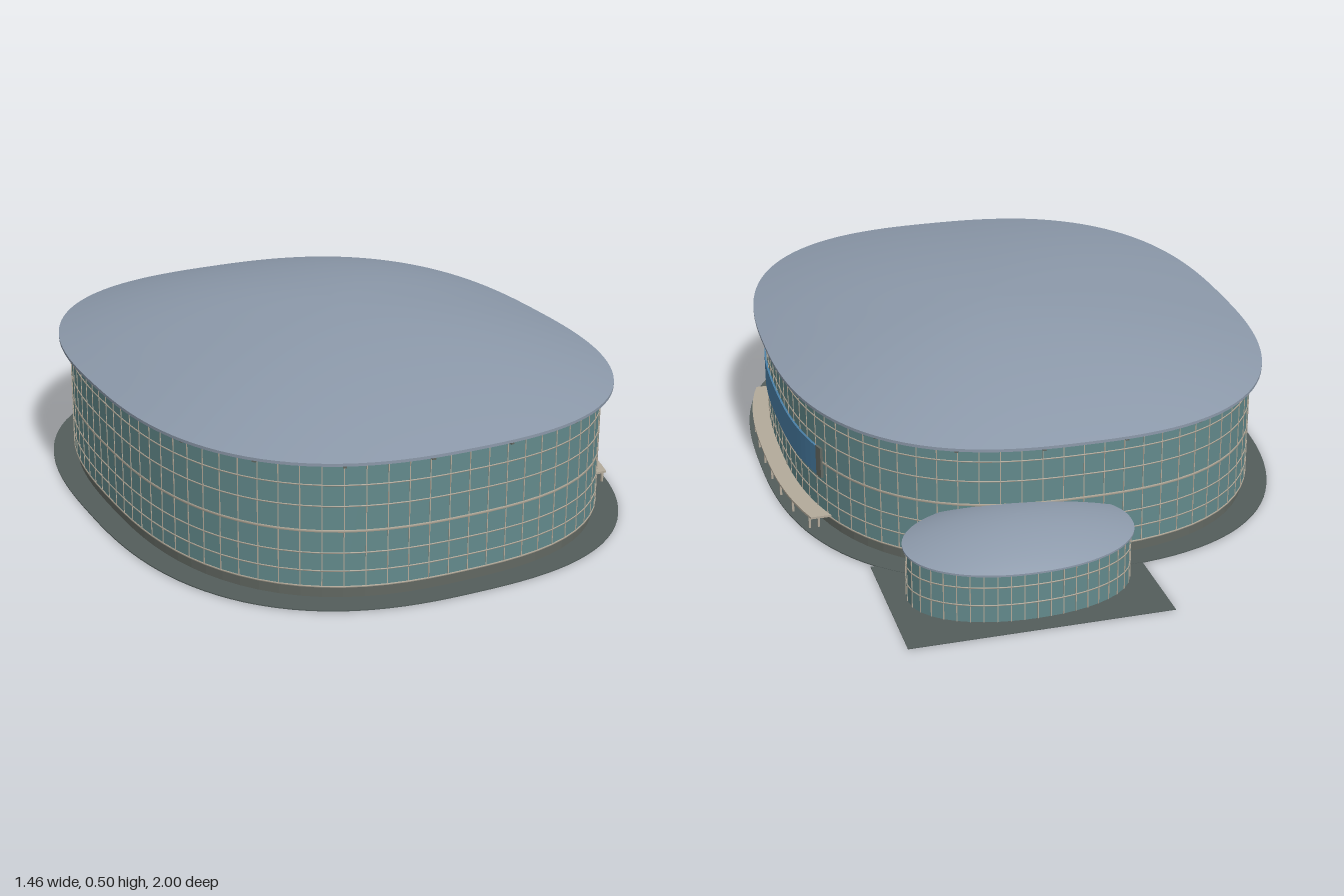
import * as THREE from 'three';
import { mergeGeometries } from 'three/addons/utils/BufferGeometryUtils.js';

const material = (name, color, extra = {}) => {
  const m = new THREE.MeshStandardMaterial({ color, ...extra });
  m.name = name;
  return m;
};

export function createModel() {
  const group = new THREE.Group();
  const roofMat = material('blue grey roof', 0x8c99aa);
  const glassMat = material('teal glass', 0x638a8c, { flatShading: true });
  const frameMat = material('beige frames', 0xb3aa9a);
  const pavingMat = material('dark paving', 0x535d5b);
  const stoneMat = material('grey stone', 0x626862);
  const blueMat = material('blue window', 0x4a7fa6);

  const add = (name, geo, mat, parent = group) => {
    const mesh = new THREE.Mesh(geo, mat);
    mesh.name = name;
    parent.add(mesh);
    return mesh;
  };

  // Evenly spaced points of a rounded oval in plan
  const oval = (a, b, n, cx, cz, count) => {
    const pts = [];
    for (let i = 0; i < 160; i++) {
      const t = (i / 160) * Math.PI * 2, c = Math.cos(t), s = Math.sin(t);
      pts.push(new THREE.Vector3(
        cx + a * Math.sign(c) * Math.abs(c) ** (2 / n), 0,
        cz + b * Math.sign(s) * Math.abs(s) ** (2 / n)));
    }
    const curve = new THREE.CatmullRomCurve3(pts, true);
    curve.arcLengthDivisions = 800;
    return curve.getSpacedPoints(count).slice(0, count);
  };

  // Closed cross-sections joined in order
  const loft = (rings) => {
    const n = rings[0].length, pos = [], idx = [];
    rings.forEach((r) => r.forEach((p) => pos.push(p.x, p.y, p.z)));
    for (let i = 0; i < rings.length - 1; i++) {
      for (let j = 0; j < n; j++) {
        const a = i * n + j, b = i * n + (j + 1) % n;
        idx.push(a, a + n, b, b, a + n, b + n);
      }
    }
    const g = new THREE.BufferGeometry();
    g.setAttribute('position', new THREE.Float32BufferAttribute(pos, 3));
    g.setIndex(idx);
    g.computeVertexNormals();
    return g;
  };
  const atHeight = (ring, f) => ring.map((p) => new THREE.Vector3(p.x, f(p), p.z));

  // Plan outline raised to a flat slab
  const slab = (pts, y0, y1) => {
    const shape = new THREE.Shape(pts.map((p) => new THREE.Vector2(p.x, -p.z)));
    const g = new THREE.ExtrudeGeometry(shape, { depth: y1 - y0, bevelEnabled: false });
    return g.rotateX(-Math.PI / 2).translate(0, y0, 0);
  };

  // Glazed oval hall with a shallow tilted dome
  const hall = (name, o) => {
    const part = new THREE.Group();
    part.name = name;
    group.add(part);
    const eave = (p) => o.eave + o.tilt * (p.z - o.cz) / o.b;
    const wall = oval(o.a, o.b, o.n, o.cx, o.cz, o.panels);
    add('glassWall', loft([atHeight(wall, () => o.foot), atHeight(wall, (p) => eave(p) - 0.004)]), glassMat, part);

    // Vertical and horizontal glazing bars
    const bars = [];
    wall.forEach((p, i) => {
      const q = wall[(i + 1) % wall.length], r = wall[(i + wall.length - 1) % wall.length];
      const h = eave(p) - 0.008 - o.foot;
      const bar = new THREE.BoxGeometry(0.0025, h, 0.0035);
      bar.rotateY(Math.atan2(q.x - r.x, q.z - r.z) + Math.PI / 2);
      bars.push(bar.translate(p.x, o.foot + h / 2, p.z));
    });
    add('mullions', mergeGeometries(bars), frameMat, part);
    const out = oval(o.a + 0.002, o.b + 0.002, o.n, o.cx, o.cz, o.panels);
    const rails = o.rails.map(([y, t]) => loft([
      atHeight(wall, () => y - t / 2), atHeight(out, () => y - t / 2),
      atHeight(out, () => y + t / 2), atHeight(wall, () => y + t / 2)]));
    add('rails', mergeGeometries(rails), frameMat, part);

    // Dome, rim and soffit
    const edge = oval(o.a + o.overhang, o.b + o.overhang, o.n, o.cx, o.cz, 128);
    const dome = [];
    for (let k = 0; k <= 16; k++) {
      const r = 1 - k / 16;
      dome.push(edge.map((p) => new THREE.Vector3(
        o.apex.x + (p.x - o.apex.x) * r,
        o.apex.y + (eave(p) - o.apex.y) * r * r,
        o.apex.z + (p.z - o.apex.z) * r)));
    }
    add('roofDome', loft(dome), roofMat, part);
    const under = (p) => eave(p) - o.rim;
    add('roofRim', loft([atHeight(edge, under), atHeight(edge, eave)]), roofMat, part);
    const inner = oval(o.a - 0.01, o.b - 0.01, o.n, o.cx, o.cz, 128);
    add('roofSoffit', loft([atHeight(inner, under), atHeight(edge, under)]), roofMat, part);
    return { part, wall, eave };
  };

  const A = 0.667, B = 0.815, N = 2.6, CZ = 0.124;
  const main = hall('mainHall', {
    a: A, b: B, n: N, cx: 0, cz: CZ, panels: 88, foot: 0.034, eave: 0.377, tilt: 0.011,
    overhang: 0.031, rim: 0.008, apex: new THREE.Vector3(0.05, 0.495, 0.05),
    rails: [[0.036, 0.004], [0.08, 0.003], [0.13, 0.003], [0.19, 0.006], [0.258, 0.003], [0.315, 0.003]],
  });
  hall('rearAnnex', {
    a: 0.297, b: 0.174, n: 2.1, cx: 0.2, cz: -0.772, panels: 44, foot: 0.002, eave: 0.152, tilt: 0.012,
    overhang: 0.009, rim: 0.005, apex: new THREE.Vector3(0.2, 0.2, -0.745),
    rails: [[0.05, 0.003], [0.1, 0.003]],
  });

  // Small brackets below the eaves
  const brackets = [];
  for (let i = 0; i < 88; i += 4) {
    const p = main.wall[i];
    const q = main.wall[(i + 1) % 88], r = main.wall[(i + 87) % 88];
    const g = new THREE.BoxGeometry(0.01, 0.01, 0.02);
    g.translate(0, 0, 0.01).rotateY(Math.atan2(q.x - r.x, q.z - r.z) + Math.PI / 2);
    // Mirror the direction so each bracket points away from the wall
    const test = new THREE.Vector3();
    g.computeBoundingBox();
    g.boundingBox.getCenter(test);
    if (test.x * p.x + test.z * (p.z - CZ) < 0) g.rotateY(Math.PI);
    brackets.push(g.translate(p.x, main.eave(p) - 0.013, p.z));
  }
  add('eaveBrackets', mergeGeometries(brackets), stoneMat, main.part);

  // Plinth and paving
  add('plinth', slab(oval(A - 0.007, B - 0.007, N, 0, CZ, 88), 0, 0.035), stoneMat);
  add('groundPlate', slab(oval(0.728, 0.875, N, 0, 0.125, 128), 0, 0.003), pavingMat);
  add('annexPlate', new THREE.BoxGeometry(0.7, 0.002, 0.43).translate(0.2, 0.001, -0.785), pavingMat);

  // Strips that follow the curve of the left wall
  const wallPoint = (z, off) => new THREE.Vector3(
    (A + off) * (1 - Math.abs((z - CZ) / (B + off)) ** N) ** (1 / N), 0, z);
  const strip = (z0, z1, off0, off1, y0, y1) => {
    const outer = [], inner = [];
    for (let i = 0; i <= 24; i++) {
      const z = z0 + (z1 - z0) * i / 24;
      outer.push(wallPoint(z, off1));
      inner.unshift(wallPoint(z, off0));
    }
    return slab([...outer, ...inner], y0, y1);
  };
  add('windowBand', strip(-0.272, 0.53, -0.004, 0.006, 0.145, 0.23), blueMat);
  for (const [z0, z1] of [[-0.298, -0.272], [0.53, 0.556]]) {
    add('windowBandEnd', strip(z0, z1, -0.004, 0.006, 0.143, 0.232), stoneMat);
  }

  // Low terrace on posts
  add('terraceDeck', strip(-0.33, 0.58, -0.002, 0.05, 0.038, 0.044), frameMat);
  const posts = [];
  for (let i = 0; i <= 8; i++) {
    for (const off of [0.022, 0.045]) {
      const p = wallPoint(-0.31 + 0.87 * i / 8, off);
      posts.push(new THREE.BoxGeometry(0.006, 0.036, 0.006).translate(p.x, 0.021, p.z));
    }
  }
  add('terracePosts', mergeGeometries(posts), frameMat);

  return group;
}
